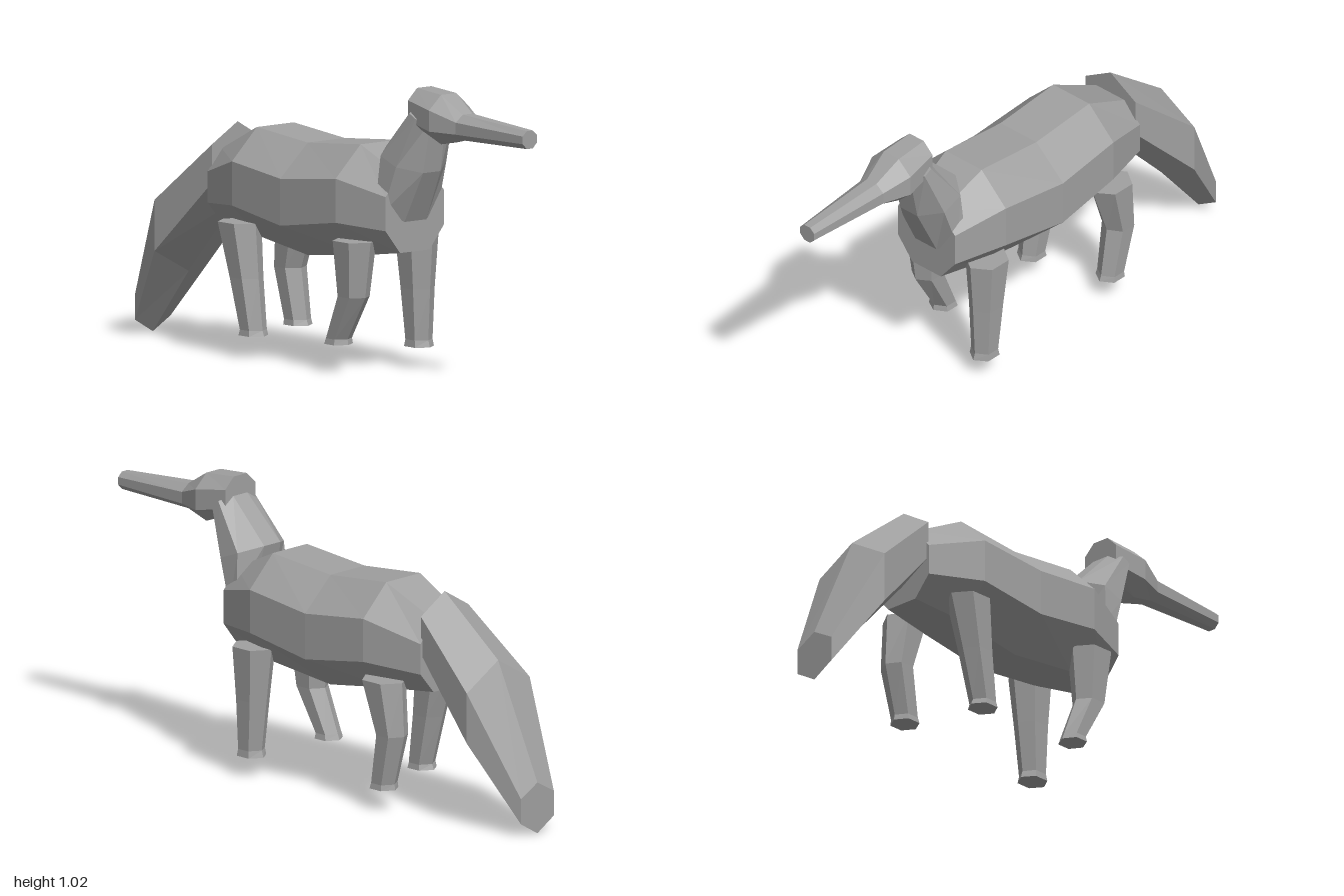
import * as THREE from 'three';

const grey = new THREE.MeshStandardMaterial({ color: 0xa0a0a0, flatShading: true });
grey.name = 'grey';

// Closed skin over rings of points, each ring counter-clockwise about the path
function loft(name, rings) {
  const pos = [];
  const tri = (a, b, c) => pos.push(...a, ...b, ...c);
  const n = rings[0].length;
  for (let r = 0; r < rings.length - 1; r++) {
    for (let i = 0; i < n; i++) {
      const j = (i + 1) % n, a = rings[r], b = rings[r + 1];
      tri(a[i], a[j], b[j]);
      tri(a[i], b[j], b[i]);
    }
  }
  const first = rings[0], last = rings[rings.length - 1];
  for (let i = 1; i < n - 1; i++) {
    tri(first[0], first[i + 1], first[i]);
    tri(last[0], last[i], last[i + 1]);
  }
  const geo = new THREE.BufferGeometry();
  geo.setAttribute('position', new THREE.Float32BufferAttribute(pos, 3));
  geo.computeVertexNormals();
  const mesh = new THREE.Mesh(geo, grey);
  mesh.name = name;
  return mesh;
}

// Upright section: half width w, half width f of the flat top and bottom
// (0 gives a ridge), then the four heights from bottom to top
function section([z, w, f, bottom, low, high, top]) {
  return f > 0
    ? [[w, low, z], [w, high, z], [f, top, z], [-f, top, z],
       [-w, high, z], [-w, low, z], [-f, bottom, z], [f, bottom, z]]
    : [[w, low, z], [w, high, z], [0, top, z], [-w, high, z], [-w, low, z], [0, bottom, z]];
}

// Tilted octagon between a front and a back point, each given as z, y
function tilted([w, f, front, back]) {
  const at = (x, s) => [x, front[1] + (back[1] - front[1]) * s, front[0] + (back[0] - front[0]) * s];
  return [at(w, 0.29), at(w, 0.71), at(f, 1), at(-f, 1),
          at(-w, 0.71), at(-w, 0.29), at(-f, 0), at(f, 0)];
}

// Six-sided leg; each ring is y, centre z, half width, half depth
function leg(name, side, rings) {
  return loft(name, rings.map(([y, z, rx, rz]) => {
    const ring = [];
    for (let i = 0; i < 6; i++) {
      const a = Math.PI / 6 + i * Math.PI / 3;
      ring.push([side * 0.143 + rx * Math.cos(a) / Math.cos(Math.PI / 6), y, z + rz * Math.sin(a)]);
    }
    return ring;
  }));
}

export function createModel() {
  const group = new THREE.Group();
  group.name = 'animal';

  // Barrel body, back to front
  group.add(loft('body', [
    [-0.56, 0.13, 0.065, 0.44, 0.515, 0.625, 0.70],
    [-0.35, 0.2, 0.085, 0.42, 0.535, 0.69, 0.80],
    [-0.08, 0.212, 0.085, 0.38, 0.495, 0.66, 0.775],
    [0.2, 0.2, 0.085, 0.41, 0.535, 0.69, 0.80],
    [0.39, 0.135, 0.068, 0.437, 0.52, 0.64, 0.71],
  ].map(section)));

  // Neck, bottom to top
  group.add(loft('neck', [
    [0.128, 0.05, [0.393, 0.545], [0.31, 0.68]],
    [0.116, 0.04, [0.48, 0.725], [0.285, 0.80]],
    [0.088, 0.035, [0.515, 0.91], [0.44, 0.95]],
  ].map(tilted)));

  // Head with long snout
  group.add(loft('head', [
    [0.44, 0.075, 0.033, 0.885, 0.91, 0.98, 1.02],
    [0.57, 0.091, 0.035, 0.836, 0.886, 0.96, 1.01],
    [0.67, 0.055, 0.022, 0.86, 0.883, 0.925, 0.95],
    [1.0, 0.033, 0.014, 0.865, 0.884, 0.911, 0.928],
  ].map(section)));

  // Ridged drooping tail, tip first
  group.add(loft('tail', [
    [-1.0, 0.082, 0, 0.002, 0.05, 0.14, 0.185],
    [-0.81, 0.157, 0, 0.235, 0.32, 0.5, 0.59],
    [-0.55, 0.118, 0, 0.515, 0.585, 0.72, 0.79],
  ].map(section)));

  // Standing and stepping legs with small flared feet
  group.add(leg('rightFrontLeg', -1, [
    [0.472, 0.235, 0.064, 0.085],
    [0.275, 0.23, 0.047, 0.062],
    [0.12, 0.152, 0.04, 0.046],
    [0.1, 0.15, 0.044, 0.052],
  ]));
  group.add(leg('leftFrontLeg', 1, [
    [0.472, 0.235, 0.064, 0.085],
    [0.28, 0.24, 0.05, 0.066],
    [0.1, 0.247, 0.041, 0.05],
    [0.075, 0.247, 0.044, 0.058],
  ]));
  group.add(leg('rightHindLeg', -1, [
    [0.472, -0.375, 0.064, 0.085],
    [0.28, -0.338, 0.05, 0.064],
    [0.1, -0.302, 0.041, 0.049],
    [0.08, -0.302, 0.044, 0.057],
  ]));
  group.add(leg('leftHindLeg', 1, [
    [0.472, -0.395, 0.064, 0.088],
    [0.28, -0.435, 0.05, 0.058],
    [0.1, -0.397, 0.041, 0.049],
    [0.08, -0.395, 0.044, 0.055],
  ]));

  return group;
}
